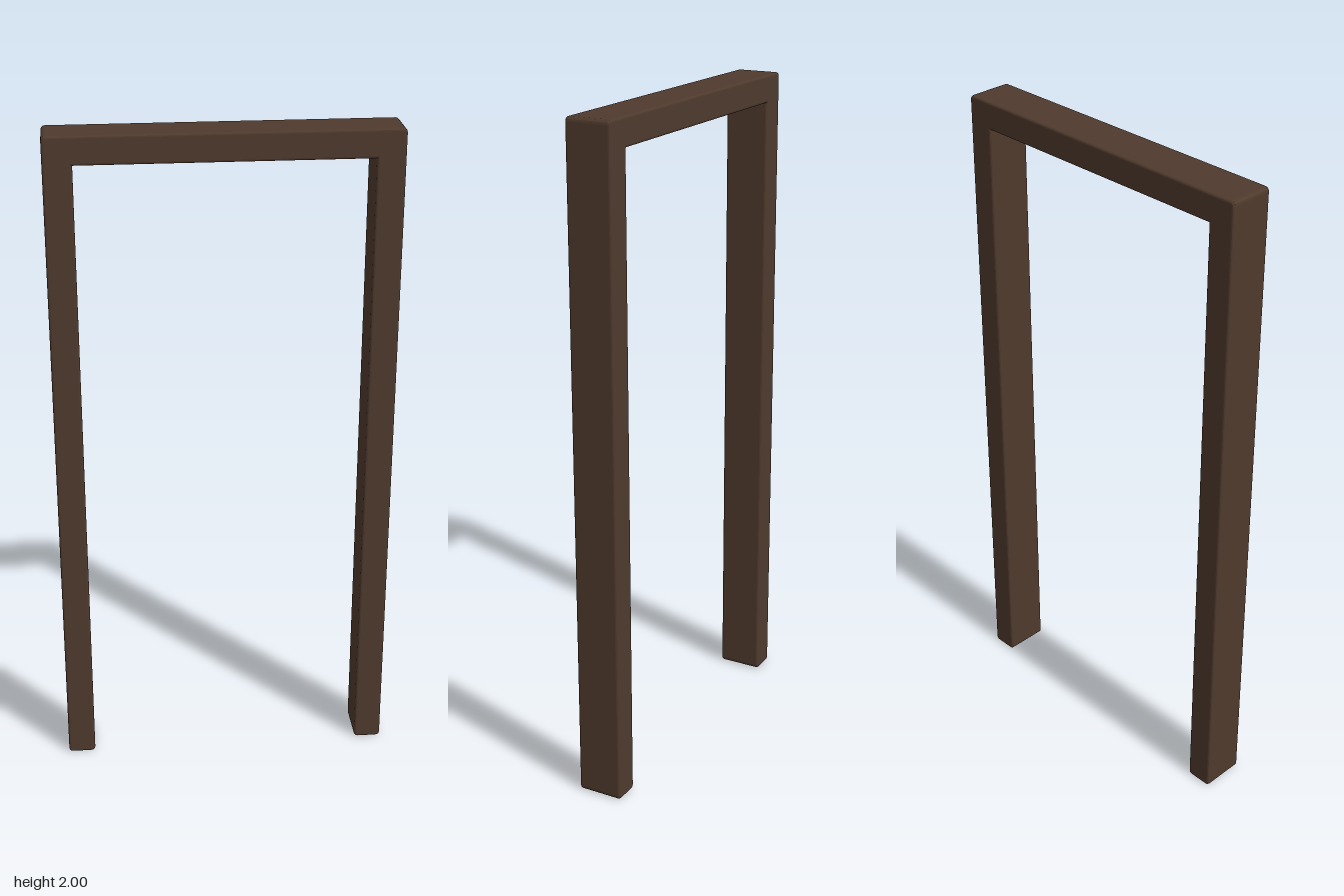
import * as THREE from 'three';

// Door frame: two posts and a lintel as one piece with softly rounded edges
export function createModel() {
  const group = new THREE.Group();
  group.name = 'doorFrame';

  const darkWood = new THREE.MeshStandardMaterial({ color: 0x4f3a2d });
  darkWood.name = 'darkWood';

  const halfWidth = 0.503, height = 2, halfDepth = 0.068, board = 0.083;
  const bevel = 0.007, r = 0.006;

  // Outline inset by the bevel, which grows it back to full size
  const xo = halfWidth - bevel, xi = halfWidth - board + bevel;
  const yb = bevel, yt = height - bevel, yi = height - board + bevel;
  const corners = [
    [-xo, yb, r], [-xi, yb, r], [-xi, yi, 0], [xi, yi, 0],
    [xi, yb, r], [xo, yb, r], [xo, yt, r], [-xo, yt, r],
  ].map(([x, y, radius]) => ({ p: new THREE.Vector2(x, y), radius }));

  // Round the outer corners, keep the two inner ones square
  const shape = new THREE.Shape();
  corners.forEach(({ p, radius }, i) => {
    const toward = (q) => q.clone().sub(p).setLength(radius).add(p);
    const a = toward(corners[(i + 7) % 8].p);
    const b = toward(corners[(i + 1) % 8].p);
    if (i === 0) shape.moveTo(a.x, a.y);
    else shape.lineTo(a.x, a.y);
    if (radius > 0) shape.quadraticCurveTo(p.x, p.y, b.x, b.y);
  });
  shape.closePath();

  const depth = 2 * (halfDepth - bevel);
  const geometry = new THREE.ExtrudeGeometry(shape, {
    depth, curveSegments: 3, bevelEnabled: true,
    bevelSize: bevel, bevelThickness: bevel, bevelSegments: 3,
  });
  geometry.translate(0, 0, -depth / 2);

  const frame = new THREE.Mesh(geometry, darkWood);
  frame.name = 'postsAndLintel';
  group.add(frame);
  return group;
}
